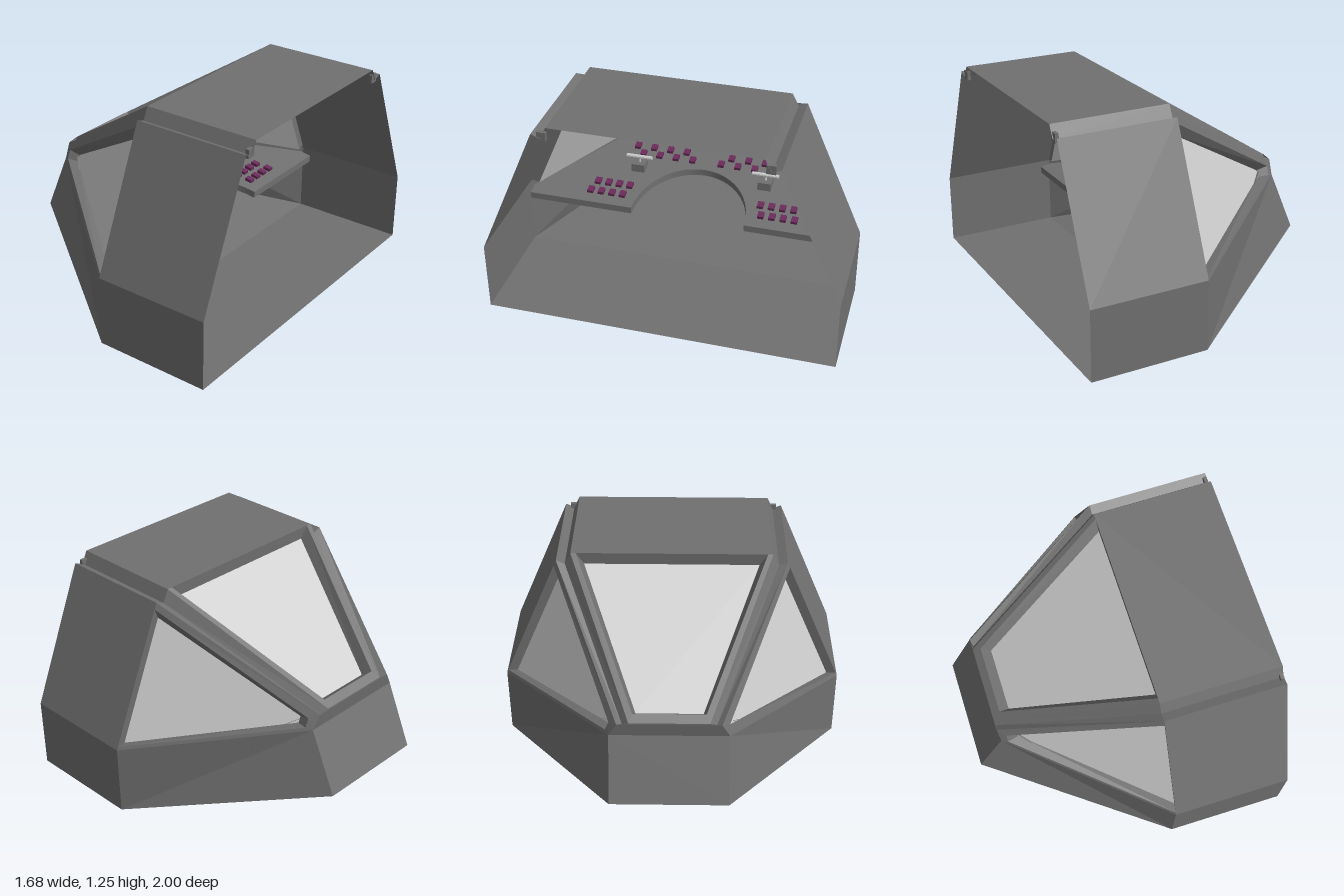
import * as THREE from 'three';

const mat = (color, side = THREE.FrontSide) =>
  new THREE.MeshStandardMaterial({ color, side, flatShading: true });

export function createModel() {
  const model = new THREE.Group();
  const hull = mat(0x707070, THREE.DoubleSide);
  const glass = mat(0xcccccc, THREE.DoubleSide);
  const grey = mat(0x707070);
  const light = mat(0xcccccc);
  const buttonMat = mat(0x6b2a5a);
  const screenMat = mat(0xb79be0);

  // Mesh made of flat convex polygons
  function sheet(name, polygons, material, parent = model) {
    const out = [];
    for (const p of polygons)
      for (let i = 1; i < p.length - 1; i++) out.push(...p[0], ...p[i], ...p[i + 1]);
    const g = new THREE.BufferGeometry();
    g.setAttribute('position', new THREE.Float32BufferAttribute(out, 3));
    g.computeVertexNormals();
    const m = new THREE.Mesh(g, material);
    m.name = name;
    parent.add(m);
    return m;
  }
  // Band of quads between two closed outlines
  const ring = (a, b) => a.map((p, i) => {
    const j = (i + 1) % a.length;
    return [p, a[j], b[j], b[i]];
  });
  // Band of quads between two open outlines
  const strip = (a, b) => ring(a, b).slice(0, -1);
  const flip = (pts, s) => pts.map(([x, y, z]) => [x, y, z * s]);
  function add(name, geometry, material, x, y, z, parent = model) {
    const m = new THREE.Mesh(geometry, material);
    m.name = name;
    m.position.set(x, y, z);
    parent.add(m);
    return m;
  }

  const back = 0.835, mid = 0.15;

  // Half section of the rear hull: floor edge, wall, groove, roof edge
  const section = [[0, 1], [0.41, 1], [1.2, 0.66], [1.18, 0.61], [1.25, 0.575]];
  const at = (x) => section.map(([y, z]) => [x, y, z]);

  // Side window outlines lie on a slanted plane, set in by depth d
  const sidePoint = (d) => ([x, y]) => [x, y, (0.712 - 0.857 * d + 0.461 * x - 0.286 * y) / 0.664];
  const sideOuter = [[mid, 1.2, 0.66], [mid, 0.41, 1], [-0.69, 0.61, 0.33], [-0.7, 0.69, 0.285]];
  const sideHole = [[mid, 1.165], [mid, 0.43], [-0.655, 0.62], [-0.655, 0.67]].map(sidePoint(0));
  const sideGlass = [[mid + 0.01, 1.1], [mid + 0.01, 0.425], [-0.59, 0.615], [-0.59, 0.65]].map(sidePoint(0.05));

  // Roof window outlines on the sloping roof, lowered by depth d
  const roofPoint = (d) => ([x, z]) => [x, 1.25 + (x - mid) * 0.647 - d, z];
  const trapezoid = (x0, z0, x1, z1, d) =>
    [[x0, z0], [x1, z1], [x1, -z1], [x0, -z0]].map(roofPoint(d));
  const roofOuter = trapezoid(mid, 0.575, -0.7, 0.22, 0);
  const roofHole = trapezoid(mid, 0.545, -0.655, 0.2, 0);
  const roofGlass = trapezoid(mid + 0.005, 0.5, -0.6, 0.185, 0.075);

  for (const s of [1, -1]) {
    const side = new THREE.Group();
    side.name = s > 0 ? 'leftSide' : 'rightSide';
    model.add(side);
    sheet('rearWall', strip(flip(at(back), s), flip(at(mid), s)), hull, side);
    sheet('lowerPanel', [flip([[mid, 0, 1], [mid, 0.41, 1], [-0.69, 0.61, 0.33], [-0.845, 0.25, 0.33]], s)], hull, side);
    sheet('sideWindowFrame', [
      ...ring(flip(sideOuter, s), flip(sideHole, s)),
      ...ring(flip(sideHole, s), flip(sideGlass, s)),
    ], hull, side);
    sheet('sideWindow', [flip(sideGlass, s)], glass, side);
    // Grooved pillar between the side and roof windows, with its inner face
    sheet('pillar', [
      ...strip(flip(at(mid).slice(2), s),
        flip([[-0.7, 0.69, 0.285], [-0.69, 0.665, 0.25], [-0.7, 0.7, 0.22]], s)),
      flip([roofGlass[0], sideGlass[0], sideGlass[3], roofGlass[1]], s),
    ], hull, side);
    add('grooveEnd', new THREE.BoxGeometry(0.02, 0.05, 0.05), grey, 0.82, 1.19, s * 0.605, side);
  }

  sheet('roof', [[[back, 1.25, 0.575], [mid, 1.25, 0.575], [mid, 1.25, -0.575], [back, 1.25, -0.575]]], hull);
  sheet('roofWindowFrame', [...ring(roofOuter, roofHole), ...ring(roofHole, roofGlass)], hull);
  sheet('roofWindow', [roofGlass], glass);
  sheet('floor', [
    [[back, 0, 1], [back, 0, -1], [mid, 0, -1], [mid, 0, 1]],
    [[mid, 0, 1], [mid, 0, -1], [-0.845, 0.25, -0.33], [-0.845, 0.25, 0.33]],
  ], hull);
  const noseRows = [[-0.845, 0.25, 0.33], [-0.69, 0.61, 0.33], [-0.7, 0.69, 0.285], [-0.7, 0.7, 0.22]];
  sheet('nose', strip(noseRows, flip(noseRows, -1)), hull);

  // Console: sloping slab with a rounded cutout for the pilot
  const cockpit = new THREE.Group();
  cockpit.name = 'console';
  model.add(cockpit);
  const slope = 0.18;
  const deskY = (x) => 0.385 + (0.22 - x) * slope;
  const plan = new THREE.Shape();
  plan.moveTo(0.22, 0.34);
  plan.lineTo(0.22, 0.97);
  plan.lineTo(0.15, 0.97);
  plan.lineTo(-0.44, 0.53);
  plan.lineTo(-0.44, -0.53);
  plan.lineTo(0.15, -0.97);
  plan.lineTo(0.22, -0.97);
  plan.lineTo(0.22, -0.34);
  plan.absellipse(0.22, 0, 0.4, 0.34, -Math.PI / 2, Math.PI / 2, true);
  const desk = new THREE.ExtrudeGeometry(plan, { depth: 0.04, bevelEnabled: false, curveSegments: 20 });
  desk.rotateX(-Math.PI / 2);
  const pos = desk.attributes.position;
  for (let i = 0; i < pos.count; i++) pos.setY(i, pos.getY(i) - 0.04 + deskY(pos.getX(i)));
  desk.computeVertexNormals();
  add('desk', desk, grey, 0, 0, 0, cockpit);

  // Dashboard rising from the desk to the nose
  const dashRows = [[-0.44, 0.5, 0.53], [-0.45, 0.55, 0.47], [-0.66, 0.68, 0.27]];
  sheet('dashboard', strip(dashRows, flip(dashRows, -1)), hull, cockpit);
  for (const s of [1, -1]) {
    sheet('displayPane', [flip([[-0.45, 0.556, 0.012], [-0.45, 0.556, 0.39],
      [-0.625, 0.665, 0.27], [-0.625, 0.665, 0.012]], s)], glass, cockpit);

    // Screens along the dashboard
    for (const [z, w] of [[0.08, 0.11], [0.18, 0.05], [0.25, 0.05], [0.35, 0.09]]) {
      add('screenFrame', new THREE.BoxGeometry(0.03, 0.036, w), buttonMat, -0.43, 0.535, s * z, cockpit);
      add('screen', new THREE.BoxGeometry(0.01, 0.022, w - 0.018), screenMat, -0.412, 0.535, s * z, cockpit);
    }
    // Button blocks on the desk: wing rows, then the forward row
    const button = (x, z) => {
      const b = add('button', new THREE.BoxGeometry(0.045, 0.02, 0.036), buttonMat, x, deskY(x) + 0.008, s * z, cockpit);
      b.rotation.z = -Math.atan(slope);
    };
    for (let i = 0; i < 4; i++) {
      button(0.13, 0.42 + i * 0.066);
      button(0.05, 0.4 + i * 0.066);
    }
    for (let i = 0; i < 8; i++) button(i % 2 ? -0.3 : -0.24, 0.09 + i * 0.052);

    // Control lever: block, stem and cross grip
    const lever = new THREE.Group();
    lever.name = 'controlLever';
    lever.position.set(-0.12, 0, s * 0.39);
    cockpit.add(lever);
    add('leverBase', new THREE.BoxGeometry(0.08, 0.05, 0.08), grey, 0, 0.465, 0, lever);
    add('leverStem', new THREE.CylinderGeometry(0.008, 0.008, 0.05, 8), light, 0, 0.505, 0, lever);
    const grip = add('leverGrip', new THREE.CylinderGeometry(0.012, 0.012, 0.16, 10), light, 0, 0.525, 0, lever);
    grip.rotation.x = Math.PI / 2;
  }
  return model;
}
